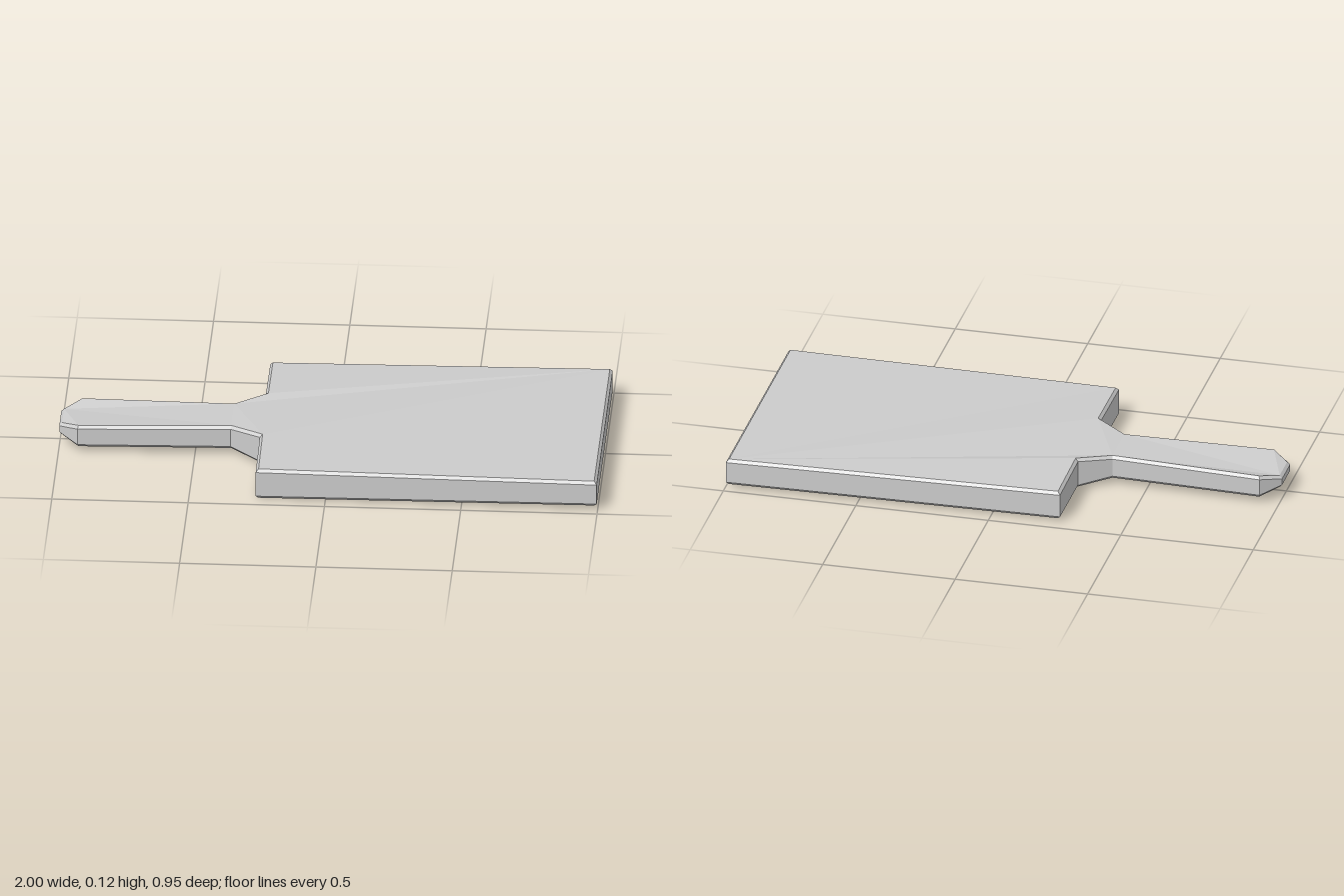
import * as THREE from 'three';

// Outline corners of the paddle: [x, z, underside y, top y]
const OUTLINE = [
  [-1, -0.065, 0.045, 0.092], [-0.93, -0.127, 0.024, 0.109],
  [-0.37, -0.105, 0.024, 0.115], [-0.257, -0.175, 0.007, 0.125],
  [-0.257, -0.446, 0.008, 0.118], [0.997, -0.475, 0.013, 0.115],
  [0.997, 0.472, 0.016, 0.115], [-0.255, 0.452, 0, 0.118],
  [-0.257, 0.175, 0.006, 0.125], [-0.37, 0.095, 0.023, 0.115],
  [-0.93, 0.117, 0.024, 0.109], [-1, 0.058, 0.045, 0.092],
];
const BEVEL = 0.01;

// Move every corner inward by a mitred distance
function insetOutline(d) {
  const n = OUTLINE.length;
  const inward = (a, b) => new THREE.Vector2(a[1] - b[1], b[0] - a[0]).normalize();
  return OUTLINE.map((p, i) => {
    const n1 = inward(OUTLINE[(i + n - 1) % n], p);
    const n2 = inward(p, OUTLINE[(i + 1) % n]);
    const m = n1.clone().add(n2).multiplyScalar(d / (1 + n1.dot(n2)));
    return new THREE.Vector2(p[0] + m.x, p[1] + m.y);
  });
}

function boardGeometry() {
  const n = OUTLINE.length;
  const inner = insetOutline(BEVEL), outer = insetOutline(0);
  // Four rings: underside, lower wall edge, upper wall edge, top
  const rings = [
    [inner, (p) => p[2]],
    [outer, (p) => p[2] + BEVEL * 1.1],
    [outer, (p) => p[3] - BEVEL * 1.1],
    [inner, (p) => p[3]],
  ];
  const positions = [], index = [];
  for (const [ring, height] of rings)
    ring.forEach((v, i) => positions.push(v.x, height(OUTLINE[i]), v.y));

  // Bevels and side walls
  for (let r = 0; r < 3; r++)
    for (let i = 0; i < n; i++) {
      const a = r * n + i, b = r * n + (i + 1) % n;
      index.push(a, a + n, b + n, a, b + n, b);
    }
  // Flat faces
  for (const [a, b, c] of THREE.ShapeUtils.triangulateShape(inner, [])) {
    index.push(a, b, c);
    index.push(3 * n + a, 3 * n + c, 3 * n + b);
  }
  const indexed = new THREE.BufferGeometry();
  indexed.setAttribute('position', new THREE.Float32BufferAttribute(positions, 3));
  indexed.setIndex(index);
  const geometry = indexed.toNonIndexed();
  geometry.computeVertexNormals();
  return geometry;
}

export function createModel() {
  const group = new THREE.Group();
  group.name = 'cuttingBoard';
  const material = new THREE.MeshStandardMaterial({ color: 0xcccccc, flatShading: true });
  const board = new THREE.Mesh(boardGeometry(), material);
  board.name = 'boardWithHandle';
  group.add(board);
  return group;
}
